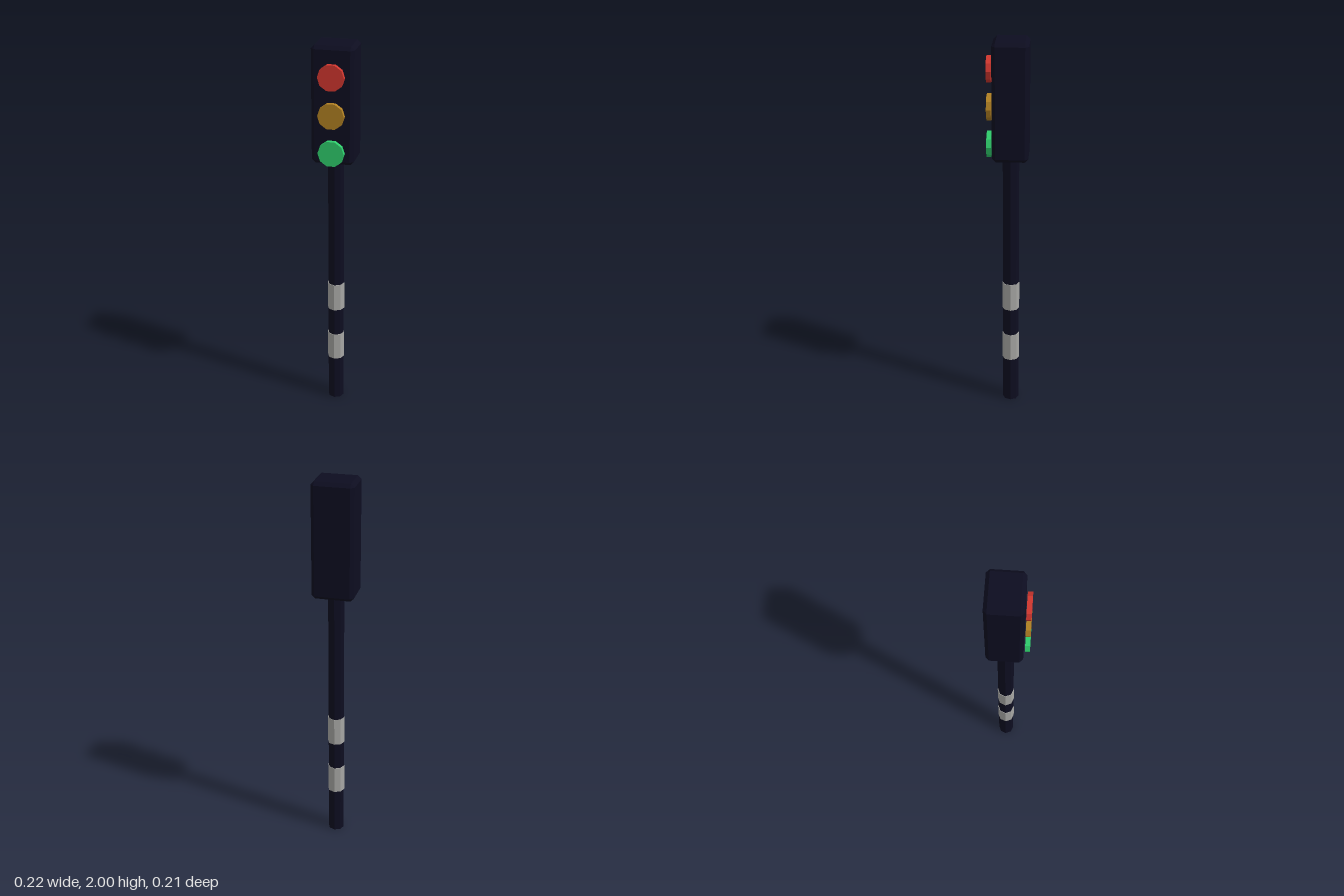
import * as THREE from 'three';
import { ConvexGeometry } from 'three/addons/geometries/ConvexGeometry.js';

const AXIS_Z = -0.016; // pole and housing share this axis

function material(name, color) {
  const m = new THREE.MeshStandardMaterial({ color, flatShading: true });
  m.name = name;
  return m;
}

// Box with every edge cut at 45 degrees
function chamferedBox(w, h, d, c) {
  const half = [w / 2, h / 2, d / 2];
  const points = [];
  for (const sx of [-1, 1]) for (const sy of [-1, 1]) for (const sz of [-1, 1]) {
    for (let full = 0; full < 3; full++) {
      const p = half.map((v, i) => (i === full ? v : v - c));
      points.push(new THREE.Vector3(p[0] * sx, p[1] * sy, p[2] * sz));
    }
  }
  return new ConvexGeometry(points);
}

export function createModel() {
  const model = new THREE.Group();
  model.name = 'trafficLight';
  const dark = material('darkNavy', 0x0d0d20);
  const grey = material('bandGrey', 0xa6a6a3);

  function add(name, geometry, mat, x, y, z) {
    const mesh = new THREE.Mesh(geometry, mat);
    mesh.name = name;
    mesh.position.set(x, y, z);
    model.add(mesh);
    return mesh;
  }

  // Pole with two pale bands
  add('pole', new THREE.CylinderGeometry(0.042, 0.042, 1.42, 8), dark, 0, 0.71, AXIS_Z);
  const band = new THREE.CylinderGeometry(0.045, 0.045, 0.15, 8);
  add('lowerBand', band, grey, 0, 0.325, AXIS_Z);
  add('upperBand', band, grey, 0, 0.625, AXIS_Z);

  // Signal housing
  add('housing', chamferedBox(0.216, 0.6, 0.182, 0.018), dark, 0, 1.7, AXIS_Z);

  // Ten-sided lamps standing just proud of the housing
  const lamp = new THREE.CylinderGeometry(0.067, 0.067, 0.024, 10);
  lamp.rotateY(Math.PI / 2).rotateX(Math.PI / 2);
  add('redLamp', lamp, material('red', 0xd0362e), 0, 1.852, 0.093);
  add('amberLamp', lamp, material('amber', 0xb07f22), 0, 1.659, 0.093);
  add('greenLamp', lamp, material('green', 0x2ecc6b), 0, 1.466, 0.093);

  return model;
}
